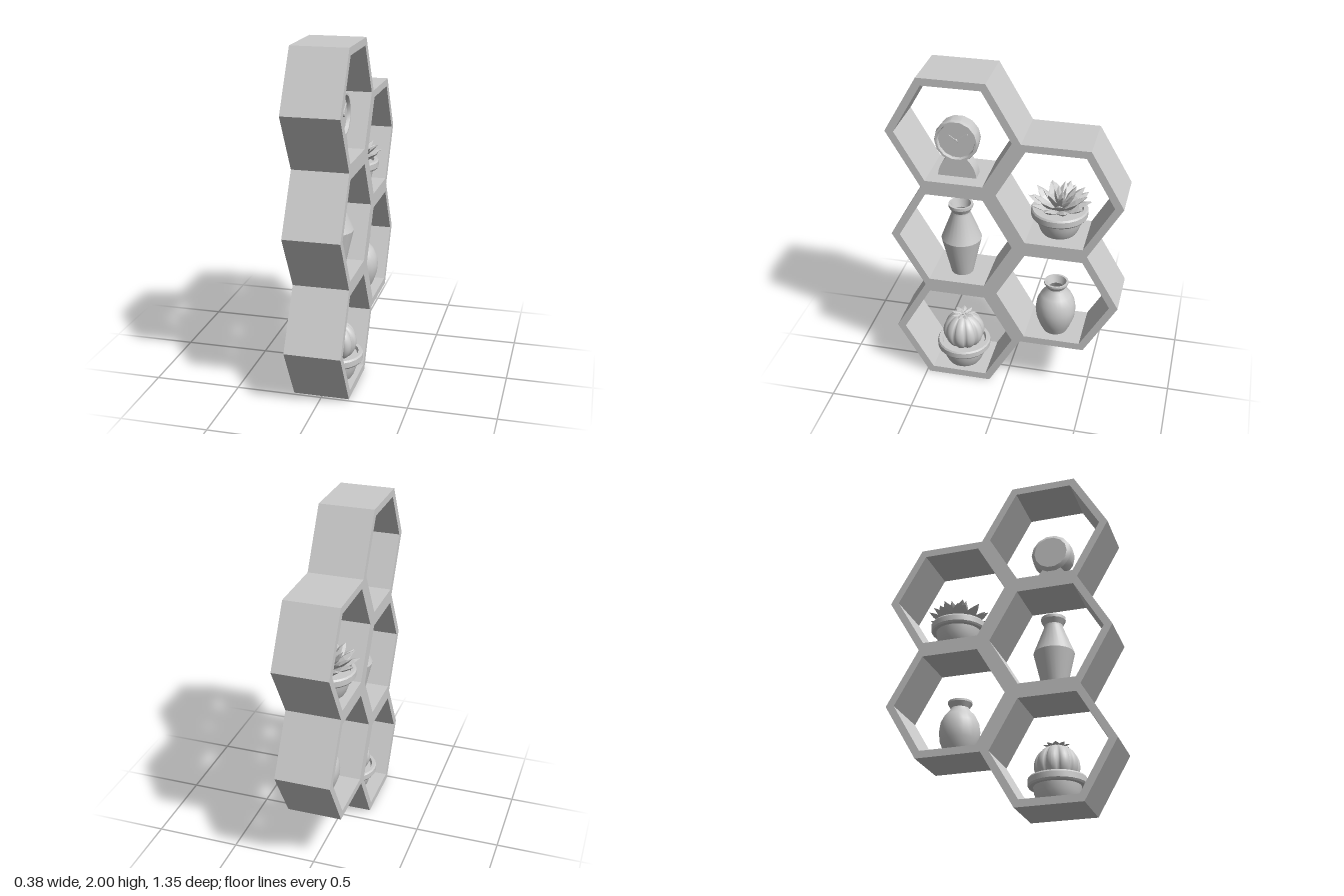
import * as THREE from 'three';
import { toCreasedNormals } from 'three/addons/utils/BufferGeometryUtils.js';

const R = 0.385, A = 1 / 3, C = 0.75 * R;   // hexagon radius, apothem, column offset
const INNER = 0.335;                        // radius of each opening

const grey = new THREE.MeshStandardMaterial({ color: 0xcccccc, side: THREE.DoubleSide });
const faceted = new THREE.MeshStandardMaterial({ color: 0xcccccc, side: THREE.DoubleSide, flatShading: true });

function mesh(name, geometry, material = grey) {
  const m = new THREE.Mesh(geometry, material);
  m.name = name;
  return m;
}

function group(name, x, y, z, ...children) {
  const g = new THREE.Group();
  g.name = name;
  g.position.set(x, y, z);
  g.add(...children);
  return g;
}

// Turned part from [radius, height] pairs
function turned(name, profile, sides = 24, crease = 0.5) {
  const pts = profile.map(([r, y]) => new THREE.Vector2(r, y));
  return mesh(name, toCreasedNormals(new THREE.LatheGeometry(pts, sides), crease));
}

// Five joined hexagonal cells, drawn sideways and extruded along x
function makeShelf() {
  const h = R / 2;
  const outline = [
    [-C - h, 0], [-C + h, 0], [C - h, A], [C + h, A], [C + R, 2 * A], [C + h, 3 * A],
    [C + R, 4 * A], [C + h, 5 * A], [C - h, 5 * A], [-C + h, 6 * A], [-C - h, 6 * A],
    [-C - R, 5 * A], [-C - h, 4 * A], [-C - R, 3 * A], [-C - h, 2 * A], [-C - R, A],
  ];
  const shape = new THREE.Shape(outline.map(([u, v]) => new THREE.Vector2(u, v)));
  for (const [u, row] of [[-C, 1], [-C, 3], [-C, 5], [C, 2], [C, 4]]) {
    const hole = [];
    for (let i = 0; i < 6; i++) {
      const a = -i * Math.PI / 3;
      hole.push(new THREE.Vector2(u + INNER * Math.cos(a), row * A + INNER * Math.sin(a)));
    }
    shape.holes.push(new THREE.Path(hole));
  }
  const geo = new THREE.ExtrudeGeometry(shape, { depth: 0.323, bevelEnabled: false });
  geo.translate(0, 0, -0.165).rotateY(Math.PI / 2);
  return mesh('hexagonShelf', geo);
}

// Flower pot with a thick rim and a bed of soil
function makePot() {
  return turned('pot', [
    [0, 0], [0.1, 0], [0.112, 0.02], [0.128, 0.065], [0.134, 0.105], [0.158, 0.105],
    [0.165, 0.115], [0.165, 0.148], [0.158, 0.158], [0.138, 0.158], [0.13, 0.14], [0, 0.14],
  ]);
}

// Pointed leaf along +y: wide in x, thin in z
function leafGeometry(length, width, thickness) {
  const pts = [[0.35, 0], [0.9, 0.35], [1, 0.55], [0.6, 0.8], [0, 1]]
    .map(([r, y]) => new THREE.Vector2(r, y));
  return new THREE.LatheGeometry(pts, 4).rotateY(Math.PI / 2).scale(width / 2, length, thickness / 2);
}

// Ring of leaves running from [r0, y0] out to [r1, y1]
function leafRing(name, count, [r0, y0], [r1, y1], width, thickness, turn = 0) {
  const ring = new THREE.Group();
  ring.name = name;
  const geo = leafGeometry(Math.hypot(r1 - r0, y1 - y0), width, thickness);
  geo.rotateX(Math.atan2(r1 - r0, y1 - y0)).translate(0, y0, r0);
  for (let i = 0; i < count; i++) {
    const leaf = mesh('leaf', geo, faceted);
    leaf.rotation.y = turn + i / count * Math.PI * 2;
    ring.add(leaf);
  }
  return ring;
}

function makeSucculent() {
  return group('pottedSucculent', -0.018, 1.045, -C,
    makePot(),
    leafRing('outerLeaves', 10, [0.03, 0.14], [0.185, 0.215], 0.085, 0.03),
    leafRing('middleLeaves', 9, [0.025, 0.15], [0.16, 0.25], 0.075, 0.03, 0.3),
    leafRing('innerLeaves', 7, [0.015, 0.15], [0.1, 0.275], 0.06, 0.026, 0.1),
    leafRing('heartLeaves', 4, [0.005, 0.16], [0.035, 0.28], 0.04, 0.022, 0.5));
}

// Ribbed round body with a small flower crown
function makeCactus() {
  const body = new THREE.SphereGeometry(1, 80, 20);
  const p = body.attributes.position;
  for (let i = 0; i < p.count; i++) {
    const x = p.getX(i), z = p.getZ(i);
    const rib = 0.86 + 0.14 * Math.sqrt(Math.abs(Math.cos(5 * Math.atan2(z, x))));
    p.setXYZ(i, x * rib * 0.128, p.getY(i) * 0.122, z * rib * 0.128);
  }
  body.translate(0, 0.222, 0);
  body.computeVertexNormals();
  return group('pottedCactus', 0.026, 0.045, C,
    makePot(),
    mesh('cactusBody', body),
    leafRing('flower', 9, [0.01, 0.335], [0.075, 0.347], 0.035, 0.012),
    leafRing('flowerHeart', 5, [0.005, 0.335], [0.03, 0.352], 0.02, 0.01, 0.3));
}

// Clock facing +x on a flared foot
function makeClock() {
  const body = turned('clockBody', [
    [0, -0.055], [0.1, -0.055], [0.122, -0.04], [0.127, 0.035], [0.122, 0.055],
    [0.11, 0.055], [0.105, 0.035], [0, 0.035],
  ], 14);
  body.rotation.z = -Math.PI / 2;
  const pin = mesh('clockPin', new THREE.CylinderGeometry(0.011, 0.011, 0.018, 10).rotateZ(Math.PI / 2));
  pin.position.x = 0.042;
  const parts = [body, pin];
  for (const [name, length, angle] of [['hourHand', 0.055, 0.95], ['minuteHand', 0.082, -0.95]]) {
    const hand = mesh(name, new THREE.BoxGeometry(0.006, length, 0.009).translate(0.041, length / 2, 0));
    hand.rotation.x = angle;
    parts.push(hand);
  }
  const foot = new THREE.Shape();
  foot.moveTo(-0.112, -0.225);
  foot.lineTo(0.112, -0.225);
  foot.bezierCurveTo(0.108, -0.17, 0.085, -0.14, 0.055, -0.105);
  foot.lineTo(-0.055, -0.105);
  foot.bezierCurveTo(-0.085, -0.14, -0.108, -0.17, -0.112, -0.225);
  const footGeo = new THREE.ExtrudeGeometry(foot, { depth: 0.08, bevelEnabled: false, curveSegments: 8 });
  footGeo.translate(0, 0, -0.04).rotateY(Math.PI / 2);
  parts.push(mesh('clockFoot', toCreasedNormals(footGeo, 0.5)));
  return group('clock', 0.035, 1.605, C, ...parts);
}

function makeVases() {
  const tall = turned('tallVase', [
    [0, 0], [0.066, 0], [0.12, 0.235], [0.056, 0.4], [0.055, 0.415], [0.072, 0.445],
    [0.072, 0.463], [0.06, 0.463], [0.046, 0.41], [0.1, 0.24], [0.05, 0.02], [0, 0.02],
  ]);
  tall.position.set(0.015, 0.71, C);
  const round = turned('roundVase', [
    [0, 0], [0.072, 0], [0.094, 0.045], [0.114, 0.1], [0.12, 0.155], [0.112, 0.21],
    [0.09, 0.255], [0.06, 0.288], [0.054, 0.303], [0.072, 0.332], [0.072, 0.344],
    [0.06, 0.344], [0.044, 0.3], [0.1, 0.2], [0.1, 0.1], [0.06, 0.02], [0, 0.02],
  ]);
  round.position.set(0.03, 0.378, -C);
  return [tall, round];
}

export function createModel() {
  const model = new THREE.Group();
  model.name = 'honeycombShelf';
  model.add(makeShelf(), makeClock(), makeSucculent(), makeCactus(), ...makeVases());
  return model;
}
